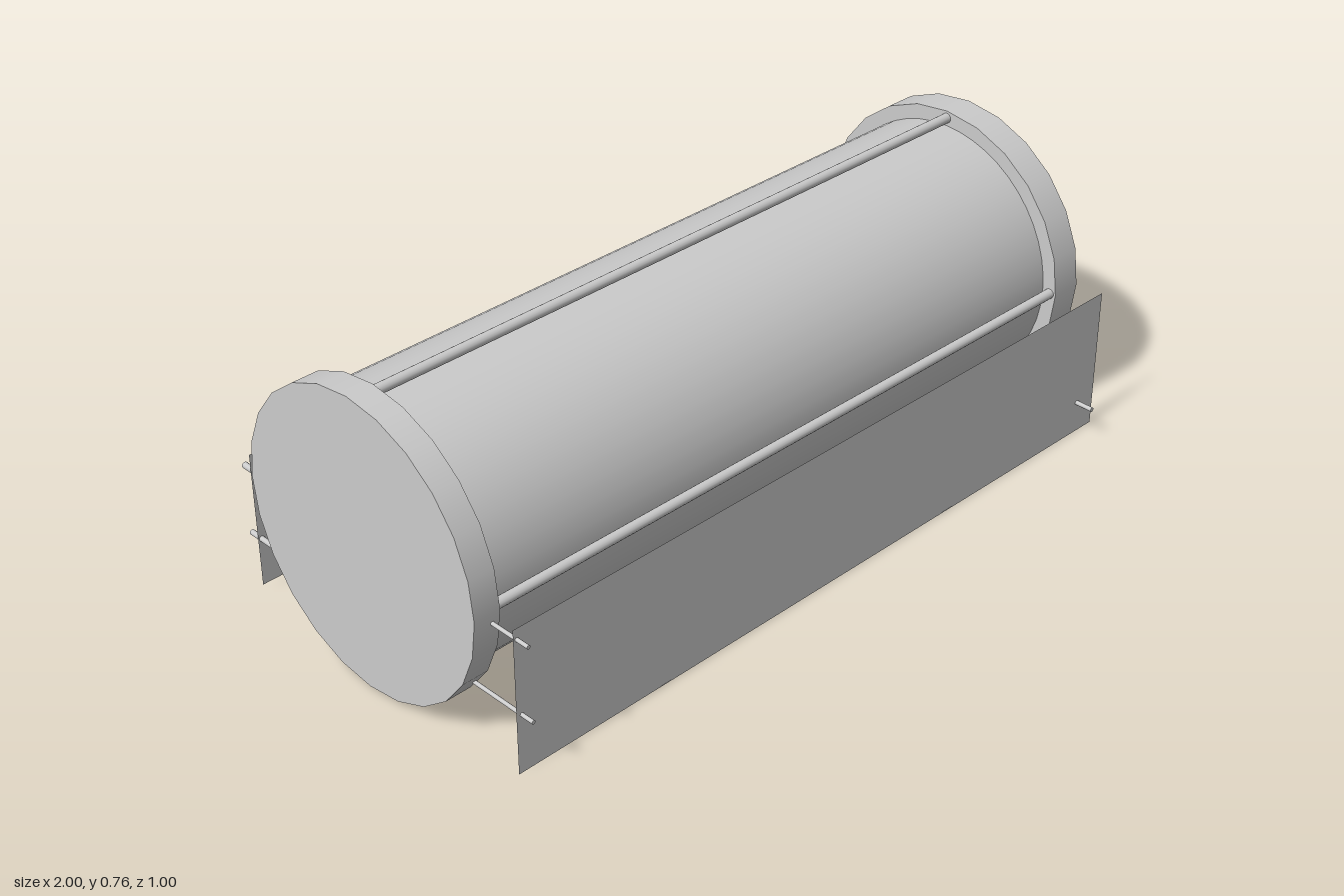
import * as THREE from 'three';

const CENTRE_Y = 0.383;

export function createModel() {
  const model = new THREE.Group();
  const grey = new THREE.MeshStandardMaterial({ color: 0xcccccc });
  const sheet = new THREE.MeshStandardMaterial({ color: 0xcccccc, side: THREE.DoubleSide });

  const add = (name, geometry, material = grey) => {
    const mesh = new THREE.Mesh(geometry, material);
    mesh.name = name;
    model.add(mesh);
    return mesh;
  };

  // Cylinder lying along x between two x positions
  const barX = (name, r, x0, x1, y, z, sides) => {
    const g = new THREE.CylinderGeometry(r, r, x1 - x0, sides).rotateZ(Math.PI / 2);
    add(name, g).position.set((x0 + x1) / 2, y, z);
  };

  // Cylinder lying along z between two z positions
  const barZ = (name, r, x, y, z0, z1) => {
    const g = new THREE.CylinderGeometry(r, r, Math.abs(z1 - z0), 12).rotateX(Math.PI / 2);
    add(name, g).position.set(x, y, (z0 + z1) / 2);
  };

  // Drum and its two end discs
  barX('drum', 0.34, -0.93, 0.905, CENTRE_Y, 0, 48);
  barX('rightEndDisc', 0.38, -1, -0.93, CENTRE_Y, 0, 24);
  barX('leftEndDisc', 0.38, 0.905, 0.99, CENTRE_Y, 0, 24);

  // Four tie rods through the discs
  for (let i = 0; i < 4; i++) {
    const a = (i * Math.PI) / 2;
    barX('tieRod', 0.013, -1, 0.992, CENTRE_Y + 0.361 * Math.cos(a), 0.361 * Math.sin(a), 16);
  }

  // Thin side panels
  const panel = (name, x0, x1, y0, y1, z) =>
    add(name, new THREE.PlaneGeometry(x1 - x0, y1 - y0), sheet)
      .position.set((x0 + x1) / 2, (y0 + y1) / 2, z);
  panel('frontPanel', -0.96, 1, 0, 0.383, 0.453);
  panel('backPanel', -0.955, 0.985, 0.02, 0.383, -0.453);

  // Flat straps joining the panels underneath
  for (const [x, w] of [[-0.527, 0.033], [0.435, 0.038]]) {
    add('bottomStrap', new THREE.PlaneGeometry(w, 0.908).rotateX(Math.PI / 2), sheet)
      .position.set(x, 0.002, 0);
  }

  // Pegs from the discs through the panels: radius, x, y, z start, z end
  const pegs = [
    [0.005, -0.95, 0.355, 0.36, 0.49],
    [0.005, -0.945, 0.155, 0.28, 0.49],
    [0.006, 0.935, 0.088, 0.22, 0.502],
    [0.008, -0.945, 0.334, -0.36, -0.49],
    [0.007, -0.945, 0.147, -0.28, -0.49],
    [0.009, 0.925, 0.08, -0.22, -0.502],
  ];
  for (const peg of pegs) barZ('panelPeg', ...peg);

  return model;
}
